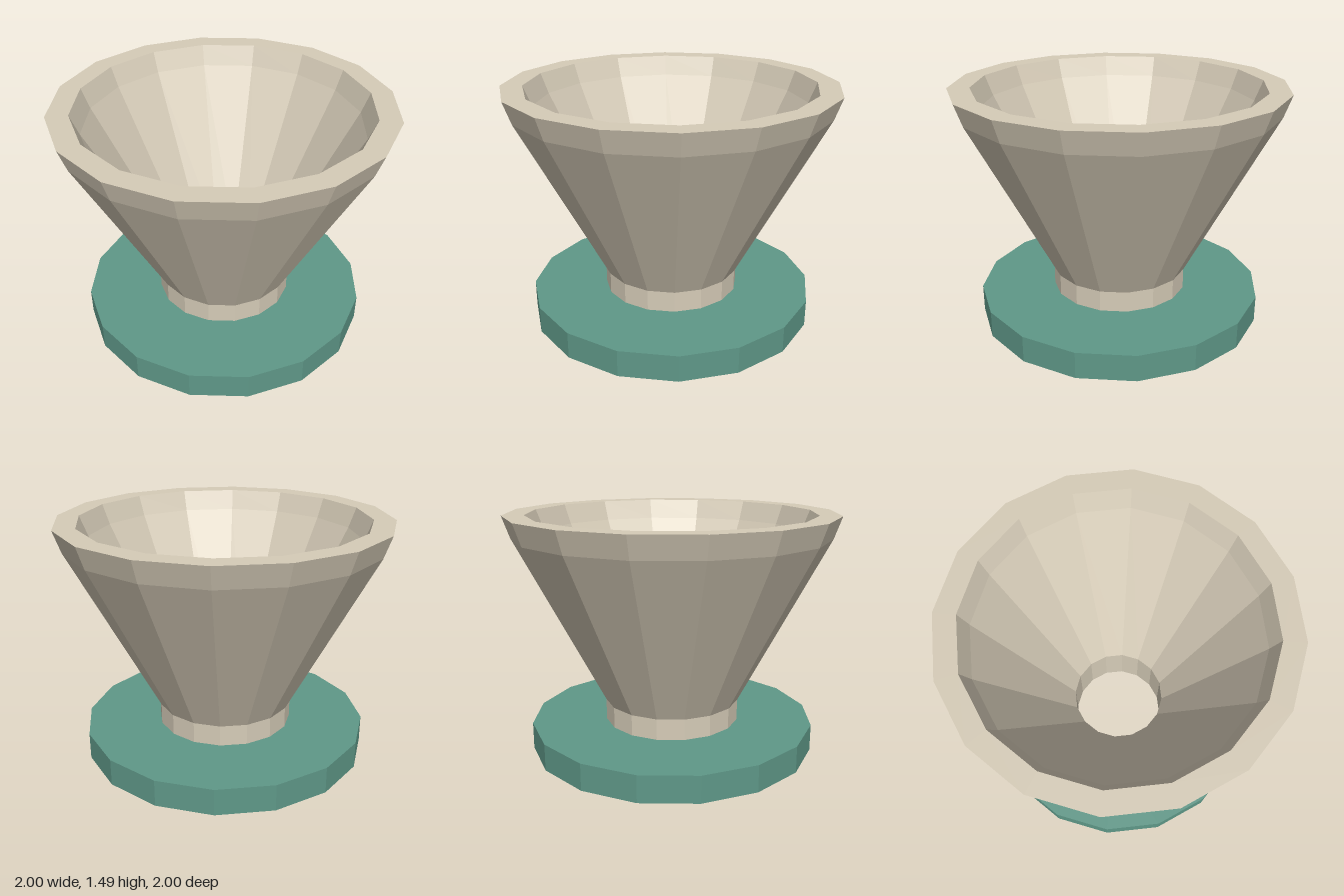
import * as THREE from 'three';

const SIDES = 16;

// Faceted solid of revolution with flat sides facing the axes
function turned(name, color, profile) {
  const points = profile.map(([r, y]) => new THREE.Vector2(r, y));
  const geometry = new THREE.LatheGeometry(points, SIDES, Math.PI / SIDES);
  const material = new THREE.MeshStandardMaterial({ color, flatShading: true });
  const mesh = new THREE.Mesh(geometry, material);
  mesh.name = name;
  return mesh;
}

export function createModel() {
  const group = new THREE.Group();
  group.name = 'funnelOnBase';

  const bore = 0.298, neck = 0.428, baseTop = 0.168;

  // Base disc, pierced by the bore
  group.add(turned('base', 0x5f9888, [
    [bore, 0], [0.9, 0], [0.9, baseTop], [neck, baseTop],
  ]));

  // Neck, flared cone, rim, then the inner wall down through the base
  group.add(turned('funnel', 0xd6ccb8, [
    [neck, baseTop], [neck, 0.3], [0.973, 1.35], [1.02, 1.485],
    [0.887, 1.485], [0.837, 1.36], [bore, 0.33], [bore, 0],
  ]));

  return group;
}
